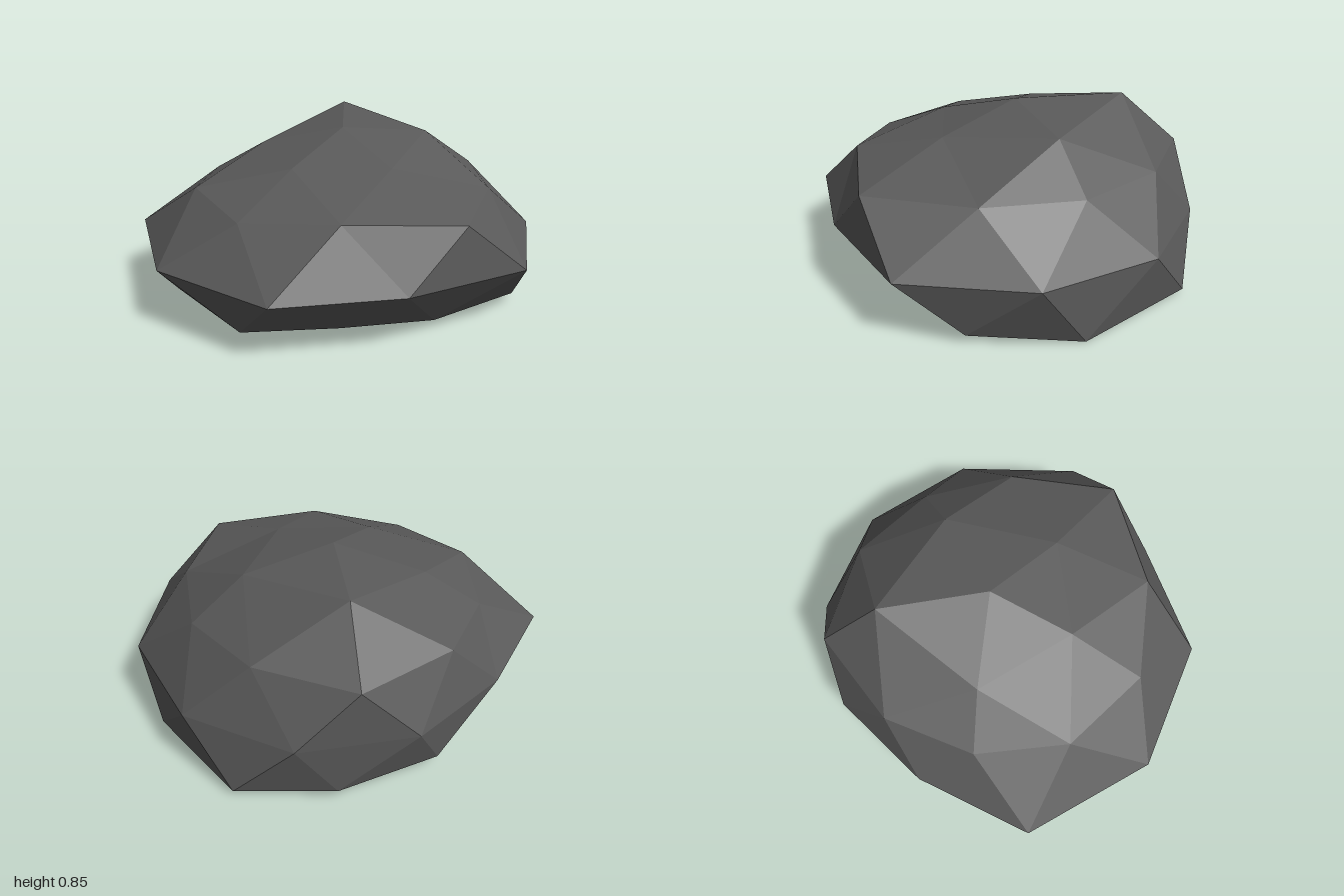
import * as THREE from 'three';

// Faceted boulder: rings of corner points joined like a once-divided icosahedron.
// All rings run counter-clockwise seen from above, starting near +z.
const topPole = [-0.09, 0.835, -0.07];
const crown = [
  [0.05, 0.72, 0.33], [0.35, 0.73, -0.04], [0.05, 0.78, -0.51],
  [-0.52, 0.85, -0.39], [-0.45, 0.72, 0.19],
];
const shoulder = [
  [-0.32, 0.59, 0.66], [0.16, 0.56, 0.69], [0.55, 0.61, 0.40], [0.84, 0.59, -0.07],
  [0.53, 0.59, -0.51], [0.13, 0.59, -0.76], [-0.32, 0.60, -0.78], [-0.76, 0.59, -0.56],
  [-0.83, 0.59, -0.06], [-0.66, 0.56, 0.36],
];
const girdle = [
  [-0.08, 0.99], [0.54, 0.77], [0.81, 0.23], [0.91, -0.39], [0.49, -0.86],
  [-0.09, -1.0], [-0.61, -0.80], [-0.91, -0.34], [-0.91, 0.21], [-0.73, 0.78],
].map(([x, z]) => [x, 0.32, z]);
const foot = [
  [-0.36, 0.05, 0.77], [0.17, 0.02, 0.71], [0.51, 0.09, 0.38], [0.65, 0.05, -0.07],
  [0.67, 0.05, -0.58], [0.26, 0.0, -0.91], [-0.37, 0.03, -0.96], [-0.70, 0.04, -0.63],
  [-0.89, 0.08, -0.18], [-0.72, 0.03, 0.28],
];
const base = [
  [-0.25, 0, 0.40], [0.34, 0, 0.20], [0.34, 0, -0.38], [-0.22, 0, -0.60], [-0.51, 0, -0.10],
];
const bottomPole = [-0.05, 0, -0.1];

export function createModel() {
  const positions = [];
  const tri = (a, b, c) => positions.push(...a, ...b, ...c);
  const at = (ring, i) => ring[i % ring.length];

  // Cap: pole, inner ring of five, outer ring of ten
  const cap = (pole, inner, outer, shift, face) => {
    for (let k = 0; k < 5; k++) {
      const a = at(inner, k), b = at(inner, k + 1);
      const o = [0, 1, 2].map((j) => at(outer, 2 * k + j + shift));
      face(pole, a, b);
      face(a, o[0], o[1]);
      face(a, o[1], o[2]);
      face(a, o[2], b);
    }
  };
  cap(topPole, crown, shoulder, 0, tri);
  cap(bottomPole, base, foot, 9, (a, b, c) => tri(a, c, b));

  // Two zigzag bands meeting at the girdle
  for (let i = 0; i < 10; i++) {
    const e0 = at(girdle, i), e1 = at(girdle, i + 1);
    const u0 = at(shoulder, i), u1 = at(shoulder, i + 1);
    const l0 = at(foot, i), l1 = at(foot, i + 1);
    tri(u0, e0, u1);
    tri(e0, e1, u1);
    tri(l0, l1, e0);
    tri(e0, l1, e1);
  }

  const geometry = new THREE.BufferGeometry();
  geometry.setAttribute('position', new THREE.Float32BufferAttribute(positions, 3));
  geometry.computeVertexNormals();

  const stone = new THREE.MeshStandardMaterial({ color: 0x5a5a5a, flatShading: true });
  stone.name = 'darkStone';
  const rock = new THREE.Mesh(geometry, stone);
  rock.name = 'rock';

  const group = new THREE.Group();
  group.name = 'boulder';
  group.add(rock);
  return group;
}
